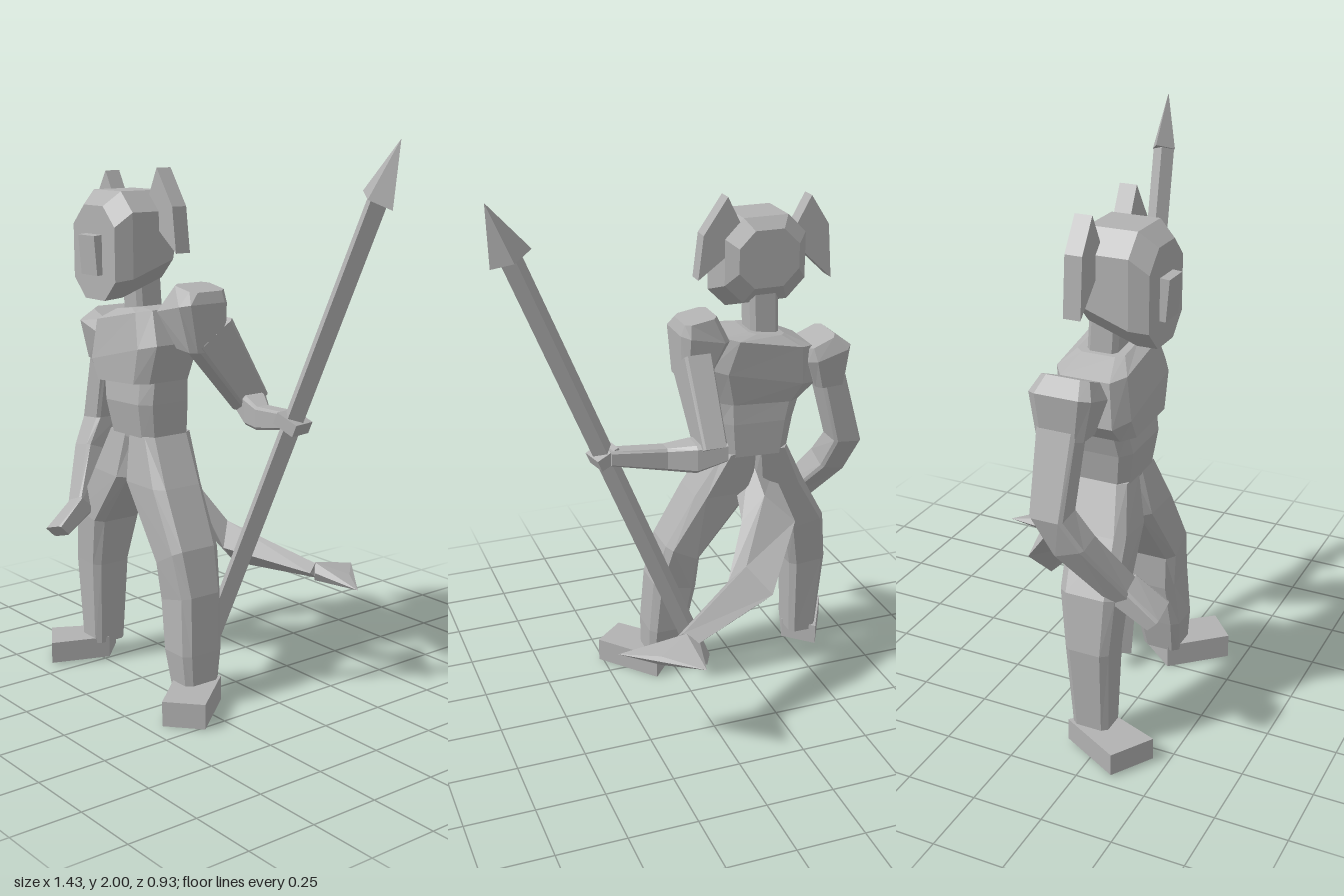
import * as THREE from 'three';
import { ConvexGeometry } from 'three/addons/geometries/ConvexGeometry.js';

const stone = new THREE.MeshStandardMaterial({ color: 0xb2b2b2, flatShading: true });
stone.name = 'plain grey';

// Skin a list of equal-length rings, cap both ends and face it outwards
function loft(rings) {
  const tris = [];
  const n = rings[0].length;
  for (let i = 0; i + 1 < rings.length; i++) {
    for (let j = 0; j < n; j++) {
      const k = (j + 1) % n;
      const [a, b, c, d] = [rings[i][j], rings[i][k], rings[i + 1][k], rings[i + 1][j]];
      tris.push([a, b, c], [a, c, d]);
    }
  }
  const first = rings[0], last = rings[rings.length - 1];
  for (let j = 1; j + 1 < n; j++) {
    tris.push([first[0], first[j + 1], first[j]], [last[0], last[j], last[j + 1]]);
  }
  let volume = 0;
  for (const [a, b, c] of tris) volume += a.dot(new THREE.Vector3().crossVectors(b, c));
  const points = tris.flatMap(t => (volume < 0 ? [t[0], t[2], t[1]] : t));
  const geo = new THREE.BufferGeometry().setFromPoints(points);
  geo.computeVertexNormals();
  return geo;
}

// Chamfered section between two silhouette points, from zBack to zFront;
// tilt raises the back edge and lowers the front one
function section([xa, ya, xb, yb, zBack, zFront, tilt = 0], c) {
  const uv = [[c, 0], [1 - c, 0], [1, c], [1, 1 - c], [1 - c, 1], [c, 1], [0, 1 - c], [0, c]];
  return uv.map(([u, v]) => new THREE.Vector3(
    xa + (xb - xa) * u, ya + (yb - ya) * u + tilt * (1 - 2 * v), zBack + (zFront - zBack) * v));
}

// Upright octagon used for the head
function octagon(x0, x1, y0, y1, c, z) {
  return [[x0 + c, y0], [x1 - c, y0], [x1, y0 + c], [x1, y1 - c],
    [x1 - c, y1], [x0 + c, y1], [x0, y1 - c], [x0, y0 + c]].map(([x, y]) => new THREE.Vector3(x, y, z));
}

export function createModel() {
  const model = new THREE.Group();
  model.name = 'spearGuard';

  const add = (name, geo, parent = model) => {
    const mesh = new THREE.Mesh(geo, stone);
    mesh.name = name;
    parent.add(mesh);
    return mesh;
  };
  const body = (name, rows, chamfer = 0.15) => add(name, loft(rows.map(r => section(r, chamfer))));

  // Head, face plate and snout
  add('head', loft([
    octagon(-0.45, -0.22, 1.56, 1.77, 0.06, 0.10),
    octagon(-0.49, -0.18, 1.50, 1.81, 0.07, 0.14),
    octagon(-0.49, -0.18, 1.44, 1.81, 0.07, 0.31),
    octagon(-0.465, -0.205, 1.43, 1.76, 0.07, 0.37),
  ]));
  const snout = add('snout', new THREE.BoxGeometry(0.10, 0.14, 0.05));
  snout.position.set(-0.335, 1.59, 0.372);
  snout.rotation.x = 0.08;

  // Ear fins
  const fins = {
    leftEar: [[-0.19, 1.89], [-0.10, 1.76], [-0.08, 1.60], [-0.19, 1.68], [-0.24, 1.79]],
    rightEar: [[-0.51, 1.87], [-0.58, 1.76], [-0.595, 1.56], [-0.48, 1.67], [-0.455, 1.77]],
  };
  for (const [name, pts] of Object.entries(fins)) {
    const shape = new THREE.Shape(pts.map(p => new THREE.Vector2(...p)));
    add(name, new THREE.ExtrudeGeometry(shape, { depth: 0.06, bevelEnabled: false })).position.z = 0.14;
  }

  // Neck and torso
  body('neck', [[-0.385, 1.36, -0.275, 1.36, 0.11, 0.22], [-0.385, 1.53, -0.275, 1.53, 0.12, 0.23]]);
  body('chest', [
    [-0.40, 1.38, -0.26, 1.40, 0.08, 0.25],
    [-0.50, 1.33, -0.15, 1.40, 0.04, 0.29],
    [-0.52, 1.18, -0.10, 1.28, 0.05, 0.31],
    [-0.465, 1.12, -0.145, 1.14, 0.07, 0.31],
  ]);
  body('belly', [
    [-0.465, 1.13, -0.145, 1.15, 0.075, 0.28],
    [-0.44, 1.05, -0.15, 1.06, 0.07, 0.29],
    [-0.415, 0.92, -0.165, 0.93, 0.07, 0.27],
  ]);

  // Legs
  body('rightLeg', [
    [-0.42, 0.94, -0.285, 0.94, 0.07, 0.27],
    [-0.50, 0.78, -0.295, 0.77, 0.09, 0.30],
    [-0.60, 0.60, -0.44, 0.57, 0.11, 0.31],
    [-0.625, 0.40, -0.475, 0.39, 0.14, 0.30],
    [-0.60, 0.07, -0.49, 0.07, 0.16, 0.29],
  ]);
  body('leftLeg', [
    [-0.165, 0.94, -0.30, 0.94, 0.07, 0.27],
    [-0.06, 0.77, -0.295, 0.77, 0.09, 0.30],
    [0.05, 0.57, -0.085, 0.50, 0.11, 0.31],
    [0.095, 0.41, -0.075, 0.37, 0.13, 0.30],
    [0.11, 0.20, -0.04, 0.20, 0.14, 0.31],
    [0.11, 0.07, -0.01, 0.07, 0.16, 0.30],
  ]);

  // Feet, turned outwards
  const foot = (name, pts, y) => add(name, loft([y, 0.09].map(
    h => pts.map(([x, z]) => new THREE.Vector3(x, h, z)))));
  foot('rightFoot', [[-0.71, 0.36], [-0.565, 0.45], [-0.485, 0.24], [-0.59, 0.14]], 0.01);
  foot('leftFoot', [[0.265, 0.345], [0.15, 0.445], [-0.015, 0.265], [0.09, 0.14]], 0);

  // Right arm, hanging with the hand forward
  body('rightShoulder', [
    [-0.59, 1.365, -0.48, 1.32, 0.05, 0.22],
    [-0.65, 1.32, -0.48, 1.27, 0.03, 0.25],
    [-0.635, 1.17, -0.52, 1.165, 0.05, 0.22],
  ]);
  body('rightArm', [
    [-0.64, 1.20, -0.54, 1.20, 0.06, 0.20],
    [-0.72, 0.92, -0.61, 0.93, 0.07, 0.19],
    [-0.69, 0.80, -0.59, 0.82, 0.14, 0.25, -0.02],
    [-0.575, 0.60, -0.49, 0.63, 0.29, 0.36, -0.02],
  ], 0.1);
  body('rightHand', [
    [-0.575, 0.61, -0.49, 0.64, 0.29, 0.35, -0.03],
    [-0.57, 0.53, -0.465, 0.56, 0.42, 0.46, -0.02],
  ], 0.1);

  // Left arm, bent back with the forearm reaching to the spear
  body('leftShoulder', [
    [0, 1.47, -0.12, 1.49, 0.04, 0.19],
    [0.015, 1.43, -0.17, 1.39, 0.03, 0.24],
    [0.01, 1.26, -0.10, 1.27, 0.04, 0.20],
  ]);
  body('leftUpperArm', [
    [0.012, 1.32, -0.09, 1.32, 0.02, 0.17, 0.05],
    [0.005, 1.05, -0.085, 1.05, -0.15, -0.05, 0.03],
  ], 0.08);
  body('leftForearm', [
    [-0.085, 1.02, -0.085, 1.09, -0.15, -0.06],
    [0.02, 0.98, 0.02, 1.085, -0.125, -0.02],
    [0.11, 0.98, 0.11, 1.065, -0.065, 0],
    [0.31, 1.02, 0.31, 1.075, -0.045, 0.02],
  ], 0.12);

  // Spear: square shaft, grip and flattened point
  const spear = new THREE.Group();
  spear.name = 'spear';
  const butt = new THREE.Vector3(-0.085, 0.06, 0.105);
  const tip = new THREE.Vector3(0.715, 2.0, -0.085);
  const length = butt.distanceTo(tip);
  spear.position.copy(butt);
  spear.quaternion.setFromUnitVectors(new THREE.Vector3(0, 1, 0), tip.clone().sub(butt).normalize());
  model.add(spear);
  const shaft = add('spearShaft', new THREE.CylinderGeometry(0.039, 0.039, length - 0.2, 4), spear);
  shaft.position.y = (length - 0.2) / 2;
  shaft.rotation.y = 0.2;
  const point = add('spearPoint', new THREE.ConeGeometry(0.075, 0.21, 4), spear);
  point.position.y = length - 0.105;
  point.scale.z = 0.6;
  const grip = add('leftHand', new THREE.BoxGeometry(0.09, 0.045, 0.09), spear);
  grip.position.y = 1.07;
  grip.rotation.y = 0.2;

  // Tail: centre, horizontal half width, vertical half thickness at each station
  const tail = [
    [-0.30, 0.82, 0.13, 0.08, 0.08],
    [-0.31, 0.68, 0.00, 0.10, 0.10],
    [-0.19, 0.48, -0.12, 0.095, 0.085],
    [0.12, 0.41, -0.28, 0.045, 0.03],
  ];
  const yaw = [0, 0.35, 0.9, 1.1];
  add('tail', loft(tail.map(([x, y, z, w, h], i) =>
    [[-1, 0], [0, 1], [1, 0], [0, -1]].map(([u, v]) => new THREE.Vector3(
      x + u * w * Math.cos(yaw[i]) + Math.abs(v) * 0.01, y + v * h, z + u * w * Math.sin(yaw[i]) + v * h * 0.2)))));
  add('tailFin', new ConvexGeometry([
    [0.08, 0.41, -0.31], [0.15, 0.41, -0.255], [0.12, 0.44, -0.28], [0.12, 0.37, -0.28],
    [0.115, 0.40, -0.47], [0.24, 0.41, -0.345], [0.24, 0.375, -0.345], [0.37, 0.40, -0.265],
  ].map(p => new THREE.Vector3(...p))));

  return model;
}
